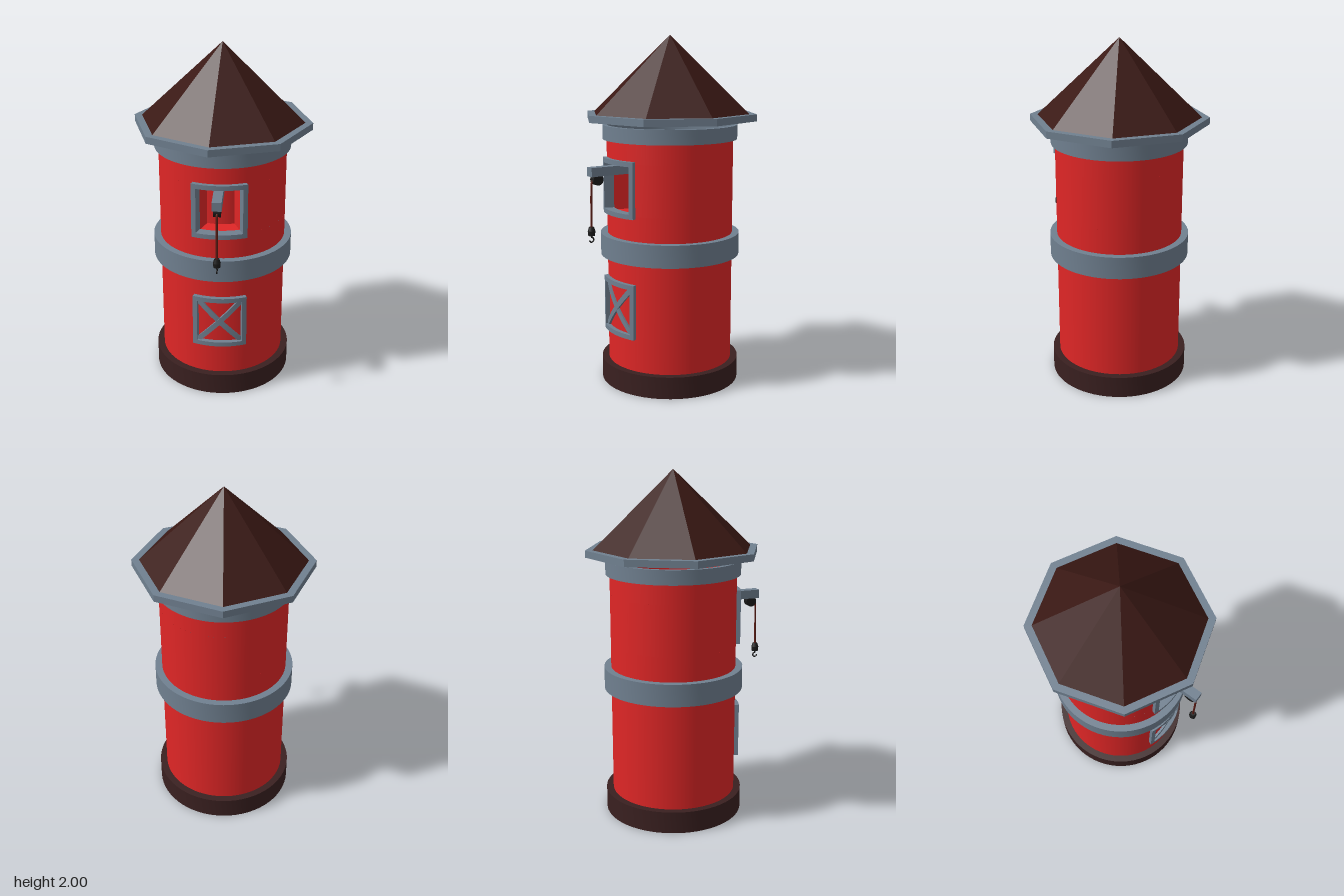
import * as THREE from 'three';
import { toCreasedNormals } from 'three/addons/utils/BufferGeometryUtils.js';

const mat = (color, flatShading = false) =>
  new THREE.MeshStandardMaterial({ color, flatShading, side: THREE.DoubleSide });
const red = mat(0xe02626), grey = mat(0x708090), brown = mat(0x3a2020);
const greyFlat = mat(0x708090, true), roofBrown = mat(0x3a1814, true);
const black = mat(0x1a1a1a), ropeRed = mat(0x5c1c14);

const WALL = 0.362;       // tower radius
const FACE = 0.387;       // radius of the window frame faces
const TURN = 0.105;       // angle of the window column from the front
const OPEN = 0.355;       // half angle of the upper opening

function add(parent, name, geometry, material, x = 0, y = 0, z = 0) {
  const mesh = new THREE.Mesh(geometry, material);
  mesh.name = name;
  mesh.position.set(x, y, z);
  parent.add(mesh);
  return mesh;
}

// Ring with a rectangular section
function ring(r0, r1, y0, y1, sides = 64) {
  const p = [[r0, y0], [r1, y0], [r1, y1], [r0, y1], [r0, y0]].map(([x, y]) => new THREE.Vector2(x, y));
  return toCreasedNormals(new THREE.LatheGeometry(p, sides), 0.6);
}

// Wraps a flat geometry (x along the wall, z as radius) around the tower
function bend(geometry) {
  const p = geometry.attributes.position;
  for (let i = 0; i < p.count; i++) {
    const a = p.getX(i) / FACE + TURN, r = p.getZ(i);
    p.setXYZ(i, Math.sin(a) * r, p.getY(i), Math.cos(a) * r);
  }
  geometry.computeVertexNormals();
  return geometry;
}

// Curved bar between two radii
function bar(w, h, x, y, r0, r1, roll = 0) {
  const g = new THREE.BoxGeometry(w, h, r1 - r0, 14, 1, 1);
  g.rotateZ(roll).translate(x, y, (r0 + r1) / 2);
  return bend(g);
}

function windowFrame(parent, name, y, r0) {
  const frame = new THREE.Group();
  frame.name = name;
  const half = 0.158, t = 0.027;
  for (const s of [-1, 1]) {
    add(frame, 'frameRail', bar(half * 2, t, 0, y + s * (half - t / 2), r0, FACE), grey);
    add(frame, 'frameJamb', bar(t, (half - t) * 2, s * (half - t / 2), y, r0, FACE), grey);
  }
  parent.add(frame);
  return frame;
}

// Round wall section, optionally an arc only
function wall(y0, y1, start = 0, length = Math.PI * 2) {
  const g = new THREE.CylinderGeometry(WALL, WALL, y1 - y0, 72, 1, true, start, length);
  return g.translate(0, (y0 + y1) / 2, 0);
}

export function createModel() {
  const model = new THREE.Group();
  model.name = 'tower';
  const tower = new THREE.Group();
  tower.name = 'towerParts';
  tower.position.z = -0.02;
  model.add(tower);

  // Wall with an opening for the upper hatch
  const low = 1.02, high = 1.308;
  add(tower, 'wallLower', wall(0, low), red);
  add(tower, 'wallMiddle', wall(low, high, TURN + OPEN, Math.PI * 2 - OPEN * 2), red);
  add(tower, 'wallUpper', wall(high, 1.5), red);

  // Recess behind the opening: a curved box without its front face
  const recess = new THREE.BoxGeometry(OPEN * 2 * FACE, high - low, WALL - 0.22, 14, 1, 1);
  recess.translate(0, (low + high) / 2, (WALL + 0.22) / 2);
  const front = recess.groups[4];
  recess.setIndex(Array.from(recess.index.array)
    .filter((_, i) => i < front.start || i >= front.start + front.count));
  recess.clearGroups();
  add(tower, 'hatchRecess', bend(recess), red);

  // Bands
  add(tower, 'base', ring(0.36, 0.402, 0, 0.127), brown);
  add(tower, 'middleBand', ring(0.36, 0.402, 0.752, 0.88), grey);
  add(tower, 'topBand', ring(0.36, 0.385, 1.42, 1.502), grey);

  // Eight-sided roof
  add(tower, 'roofRim', ring(0.46, 0.502, 1.527, 1.566, 8), greyFlat);
  add(tower, 'roof', new THREE.CylinderGeometry(0, 0.462, 0.437, 8, 1, true), roofBrown, 0, 1.7815, 0);

  // Windows, the lower one shuttered with a cross
  windowFrame(tower, 'upperFrame', 1.164, 0.33);
  const shutter = windowFrame(tower, 'lowerFrame', 0.475, 0.355);
  for (const s of [-1, 1]) {
    add(shutter, 'crossBar', bar(0.365, 0.03, 0, 0.475, 0.35, 0.374 + s * 0.001, s * Math.PI / 4), grey);
  }

  // Hoist, built along +z and turned to the window
  const hoist = new THREE.Group();
  hoist.name = 'hoist';
  hoist.rotation.y = TURN - 0.01;
  tower.add(hoist);
  add(hoist, 'arm', new THREE.BoxGeometry(0.052, 0.05, 0.312), grey, 0, 1.266, 0.374);
  const pulley = add(hoist, 'pulley', new THREE.CylinderGeometry(0.031, 0.031, 0.04, 20), black, 0, 1.222, 0.484);
  pulley.rotation.z = Math.PI / 2;

  const path = new THREE.CatmullRomCurve3([[1.235, 0.495], [1.21, 0.515], [1.15, 0.52], [1.05, 0.522], [0.95, 0.523]]
    .map(([y, z]) => new THREE.Vector3(0, y, z)));
  add(hoist, 'rope', new THREE.TubeGeometry(path, 24, 0.006, 8), ropeRed);
  add(hoist, 'hookWeight', new THREE.CylinderGeometry(0.014, 0.021, 0.022, 12), black, 0, 0.95, 0.523);
  add(hoist, 'hookBlock', new THREE.CylinderGeometry(0.021, 0.019, 0.026, 12), black, 0, 0.926, 0.523);
  add(hoist, 'hookShank', new THREE.CylinderGeometry(0.004, 0.004, 0.018, 8), black, 0, 0.908, 0.523);
  const hook = add(hoist, 'hook', new THREE.TorusGeometry(0.013, 0.004, 8, 20, Math.PI * 1.45), black, 0, 0.889, 0.523);
  hook.rotation.set(0, Math.PI / 2, -Math.PI * 0.95, 'YXZ');

  return model;
}
